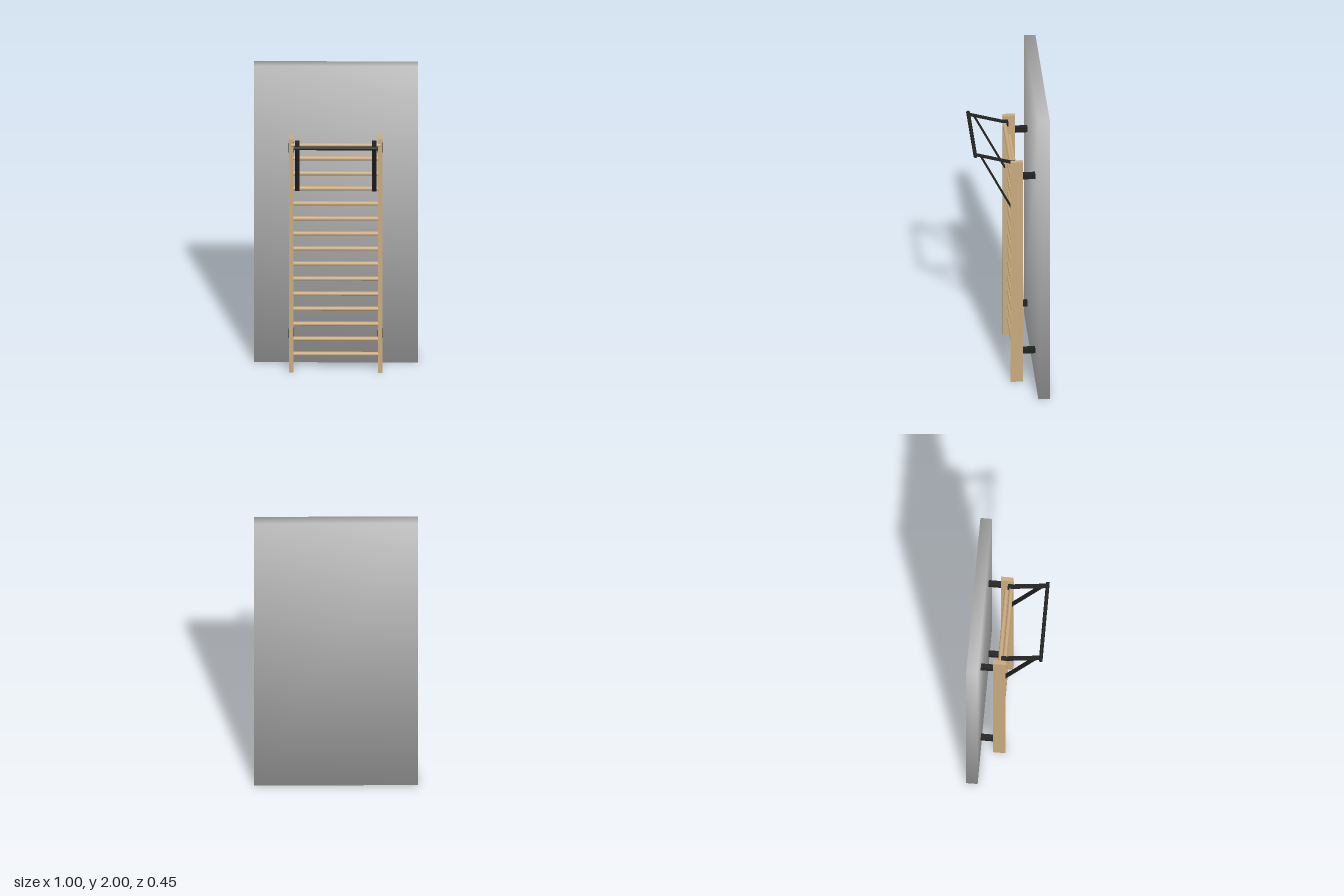
import * as THREE from 'three';

export function createModel() {
  const wood = new THREE.MeshStandardMaterial({ color: 0xc8a97e });
  wood.name = 'wood';
  const black = new THREE.MeshStandardMaterial({ color: 0x222222 });
  black.name = 'black metal';
  const grey = new THREE.MeshStandardMaterial({ color: 0xc0c0c0 });
  grey.name = 'wall grey';

  const model = new THREE.Group();
  model.name = 'wallBars';

  const add = (name, geometry, material, x, y, z) => {
    const mesh = new THREE.Mesh(geometry, material);
    mesh.name = name;
    mesh.position.set(x, y, z);
    model.add(mesh);
    return mesh;
  };
  const box = (name, material, w, h, d, x, y, z) =>
    add(name, new THREE.BoxGeometry(w, h, d), material, x, y, z);
  const rod = (name, material, radius, length, y, z) =>
    add(name, new THREE.CylinderGeometry(radius, radius, length, 20).rotateZ(Math.PI / 2), material, 0, y, z);

  // Flat strap between two [y, z] points at a given x
  const strap = (name, x, [y1, z1], [y2, z2]) => {
    const dy = y2 - y1, dz = z2 - z1;
    const mesh = box(name, black, 0.027, 0.008, Math.hypot(dy, dz), x, (y1 + y2) / 2, (z1 + z2) / 2);
    mesh.rotation.x = -Math.atan2(dy, dz);
  };

  // Wall panel, softly shaded with normals shared at its corners
  const wall = new THREE.BoxGeometry(1, 2, 0.07);
  const pos = wall.attributes.position;
  const n = new THREE.Vector3();
  for (let i = 0; i < pos.count; i++) {
    n.set(Math.sign(pos.getX(i)), Math.sign(pos.getY(i)), Math.sign(pos.getZ(i))).normalize();
    wall.attributes.normal.setXYZ(i, n.x, n.y, n.z);
  }
  add('wallPanel', wall, grey, 0, 1, -0.19);

  // Rungs: the top one sits forward, across the post fronts
  for (let i = 0; i < 14; i++) rod('rung', wood, 0.013, 0.53, 0.11 + i * 0.1016, -0.043);
  rod('topRung', wood, 0.0125, 0.545, 1.535, -0.0115);

  for (const side of [-1, 1]) {
    // Posts and wall brackets
    box('post', wood, 0.027, 1.575, 0.075, side * 0.272, 0.7875, -0.0415);
    for (const y of [0.217, 1.47]) box('wallBracket', black, 0.033, 0.032, 0.078, side * 0.272, y, -0.117);

    // Pull-up bar arms, hooked over the top rung, with diagonal braces
    const x = side * 0.235;
    strap('upperArm', x, [1.616, 0.21], [1.553, 0]);
    strap('hookTop', x, [1.553, 0.002], [1.551, -0.034]);
    strap('hookBack', x, [1.553, -0.03], [1.522, -0.03]);
    strap('brace', x, [1.602, 0.175], [1.226, -0.012]);
  }

  // Pull-up bar
  rod('pullUpBar', black, 0.0115, 0.514, 1.616, 0.21);

  return model;
}
